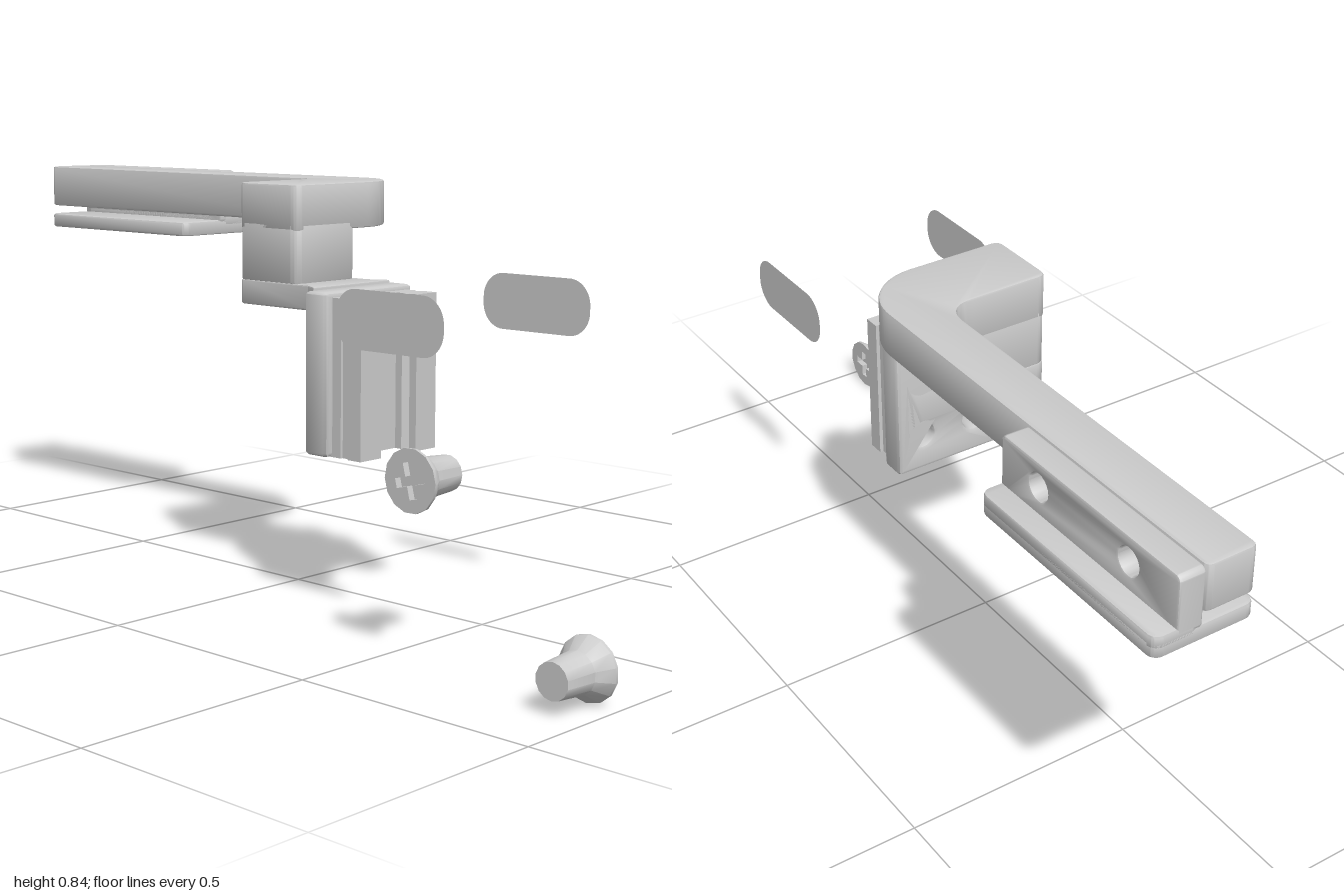
import * as THREE from 'three';
import { toCreasedNormals } from 'three/addons/utils/BufferGeometryUtils.js';

const grey = new THREE.MeshStandardMaterial({ color: 0xcccccc });
const thin = new THREE.MeshStandardMaterial({ color: 0xcccccc, side: THREE.DoubleSide });

function add(parent, name, geometry, material = grey) {
  const mesh = new THREE.Mesh(toCreasedNormals(geometry, 0.6), material);
  mesh.name = name;
  parent.add(mesh);
  return mesh;
}

// Extrusion whose outer size stays exact when bevelled
function extrude(shape, depth, bevel = 0.005) {
  return new THREE.ExtrudeGeometry(shape, {
    depth: depth - 2 * bevel, bevelEnabled: bevel > 0, bevelThickness: bevel,
    bevelSize: bevel, bevelOffset: -bevel, bevelSegments: 2, curveSegments: 10,
  }).translate(0, 0, bevel);
}

// Plan shape drawn as (x, -z), raised from y0 to y1
const upright = (shape, y0, y1, bevel) =>
  extrude(shape, y1 - y0, bevel).rotateX(-Math.PI / 2).translate(0, y0, 0);

function roundRect(x0, y0, x1, y1, r) {
  const s = new THREE.Shape();
  s.absarc(x1 - r, y0 + r, r, -Math.PI / 2, 0);
  s.absarc(x1 - r, y1 - r, r, 0, Math.PI / 2);
  s.absarc(x0 + r, y1 - r, r, Math.PI / 2, Math.PI);
  s.absarc(x0 + r, y0 + r, r, Math.PI, Math.PI * 1.5);
  s.closePath();
  return s;
}

function drill(shape, points, r) {
  for (const [x, y] of points) {
    shape.holes.push(new THREE.Path().absarc(x, y, r, 0, Math.PI * 2, true));
  }
  return shape;
}

// Countersunk screw, head facing +z with its face at z = 0
function createScrew(name) {
  const screw = new THREE.Group();
  screw.name = name;
  const profile = [[0, -0.105], [0.034, -0.105], [0.039, -0.036], [0.06, -0.006], [0.06, 0], [0.045, 0]]
    .map(([x, y]) => new THREE.Vector2(x, y));
  add(screw, 'screwBody', new THREE.LatheGeometry(profile, 14).rotateX(Math.PI / 2));

  // Cross-shaped driver recess
  const a = 0.009, b = 0.034;
  const face = new THREE.Shape().absarc(0, 0, 0.0455, 0, Math.PI * 2);
  face.holes.push(new THREE.Path([
    [a, a], [a, b], [-a, b], [-a, a], [-b, a], [-b, -a],
    [-a, -a], [-a, -b], [a, -b], [a, -a], [b, -a], [b, a],
  ].map(([x, y]) => new THREE.Vector2(x, y))));
  add(screw, 'crossRecess', extrude(face, 0.015, 0).translate(0, 0, -0.015));
  add(screw, 'recessFloor', new THREE.CircleGeometry(0.045, 14).translate(0, 0, -0.014));
  return screw;
}

export function createModel() {
  const model = new THREE.Group();
  model.name = 'mountingArm';

  // Bent arm
  const arm = new THREE.Shape();
  arm.moveTo(-0.985, 0.15);
  arm.lineTo(-0.15, 0.15);
  arm.quadraticCurveTo(-0.09, 0.15, -0.09, 0.09);
  arm.lineTo(-0.09, -0.065);
  arm.quadraticCurveTo(-0.09, -0.085, -0.07, -0.085);
  arm.lineTo(0.06, -0.085);
  arm.quadraticCurveTo(0.08, -0.085, 0.08, -0.065);
  arm.lineTo(0.08, 0.125);
  arm.absarc(-0.05, 0.125, 0.13, 0, Math.PI / 2);
  arm.lineTo(-0.985, 0.255);
  arm.quadraticCurveTo(-1, 0.255, -1, 0.24);
  arm.lineTo(-1, 0.165);
  arm.quadraticCurveTo(-1, 0.15, -0.985, 0.15);
  add(model, 'arm', upright(arm, 0.755, 0.85));

  // Post under the elbow
  add(model, 'post', upright(roundRect(-0.09, -0.085, 0.08, 0.09, 0.02), 0.65, 0.77, 0.003));

  // Clamp at the free end: drilled back plate, ridge and foot
  const clamp = new THREE.Group();
  clamp.name = 'endClamp';
  model.add(clamp);
  const backPlate = drill(roundRect(-1, 0.725, -0.51, 0.85, 0.012), [[-0.62, 0.8], [-0.87, 0.8]], 0.027);
  add(clamp, 'clampBackPlate', extrude(backPlate, 0.053).translate(0, 0, -0.31));
  add(clamp, 'clampRidge', upright(roundRect(-1, 0.257, -0.51, 0.355, 0.02), 0.72, 0.748));
  add(clamp, 'clampFoot', upright(roundRect(-1, 0.145, -0.51, 0.355, 0.02), 0.703, 0.735));

  // Bracket tongue bolted below the post
  const bracket = new THREE.Group();
  bracket.name = 'railBracket';
  model.add(bracket);
  const tongue = new THREE.Shape();
  tongue.moveTo(-0.07, -0.085);
  tongue.lineTo(0.11, -0.085);
  tongue.lineTo(0.15, -0.11);
  tongue.lineTo(0.15, 0.115);
  tongue.lineTo(0.11, 0.095);
  tongue.lineTo(-0.07, 0.095);
  tongue.quadraticCurveTo(-0.09, 0.095, -0.09, 0.075);
  tongue.lineTo(-0.09, -0.065);
  tongue.quadraticCurveTo(-0.09, -0.085, -0.07, -0.085);
  const grid = [];
  for (const x of [-0.05, 0.04]) for (const y of [-0.045, 0.05]) grid.push([x, y]);
  add(bracket, 'bracketTongue', upright(drill(tongue, grid, 0.024), 0.6, 0.651, 0.003));

  // Upright plate with four bolt holes
  const plateHoles = [];
  for (const z of [-0.065, 0.065]) for (const y of [0.4, 0.54]) plateHoles.push([z, y]);
  const plate = drill(roundRect(-0.127, 0.317, 0.127, 0.645, 0.008), plateHoles, 0.027);
  add(bracket, 'bracketPlate', extrude(plate, 0.062, 0.01).rotateY(Math.PI / 2).translate(0.14, 0, 0));

  // Slotted rail with hooked lips
  const half = [[0.195, 0.11], [0.225, 0.11], [0.225, 0.104], [0.245, 0.104], [0.245, 0.112],
    [0.28, 0.112], [0.28, 0.052], [0.262, 0.052], [0.252, 0.04], [0.245, 0.052], [0.225, 0.052]];
  const outline = [...half, ...half.map(([x, z]) => [x, -z]).reverse()]
    .map(([x, z]) => new THREE.Vector2(x, z));
  add(bracket, 'slottedRail', upright(new THREE.Shape(outline), 0.317, 0.635, 0));

  // Thin rounded cover strips
  for (const [name, z] of [['frontCoverStrip', 0.24], ['backCoverStrip', -0.197]]) {
    const strip = new THREE.ShapeGeometry(roundRect(0.333, 0.562, 0.597, 0.675, 0.05), 10);
    add(model, name, strip.translate(0, 0, z), thin);
  }

  // Loose screws, one facing forwards and one backwards
  const front = createScrew('frontScrew');
  front.position.set(0.575, 0.35, 0.303);
  front.rotation.z = 0.25;
  const back = createScrew('backScrew');
  back.position.set(0.935, 0.071, 0.25);
  back.rotation.y = Math.PI;
  model.add(front, back);

  return model;
}
